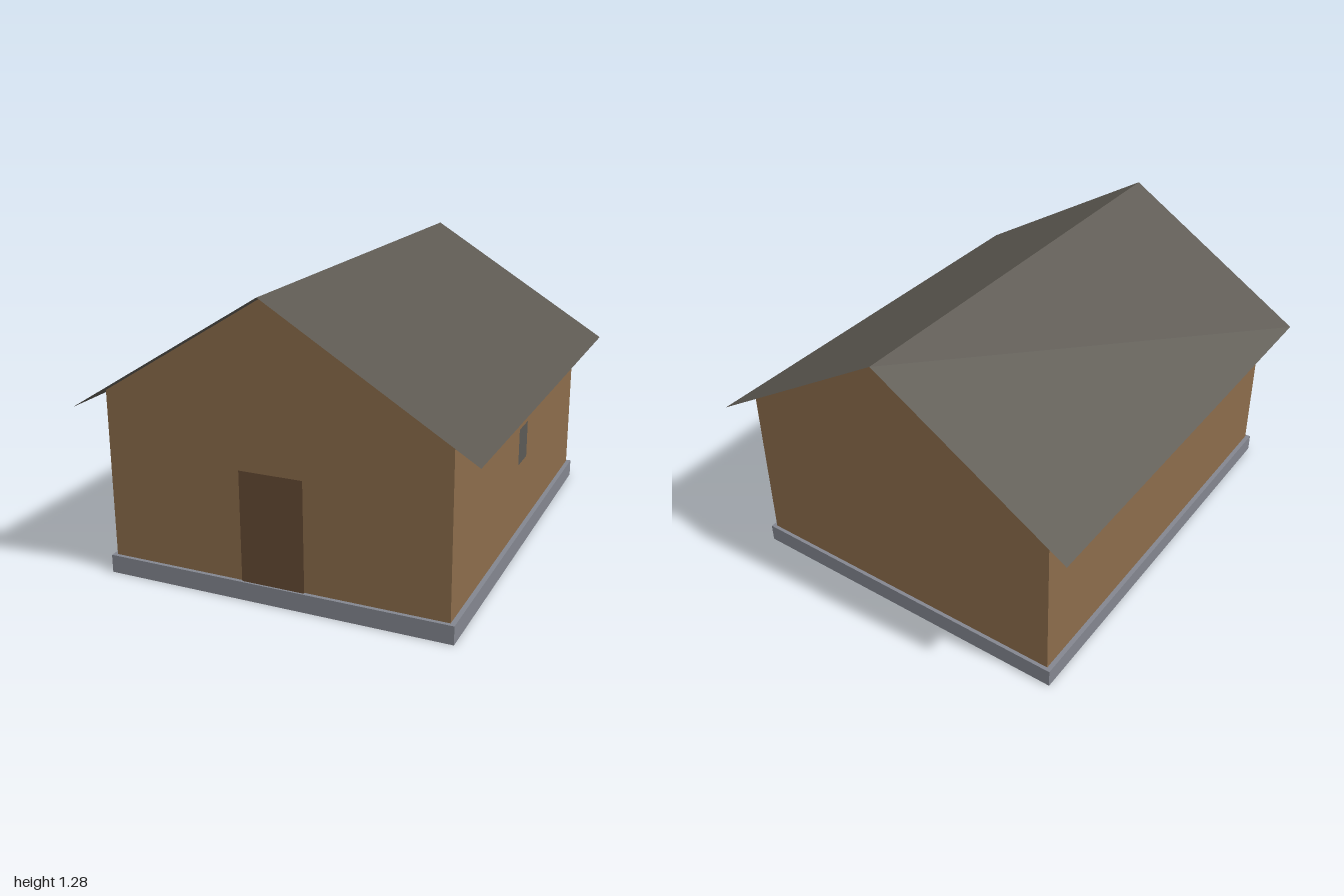
import * as THREE from 'three';

const mat = (name, color) => {
  const m = new THREE.MeshStandardMaterial({ color });
  m.name = name;
  m.side = THREE.DoubleSide;
  return m;
};

export function createModel() {
  const house = new THREE.Group();
  house.name = 'house';

  const wood = mat('wood brown', 0x8b6c4b);
  const darkWood = mat('door brown', 0x654b33);
  const stone = mat('stone grey', 0x83868f);
  const slate = mat('roof grey', 0x5c5851);
  const glass = mat('window grey', 0x5a5955);

  const add = (name, geometry, material, x = 0, y = 0, z = 0) => {
    const mesh = new THREE.Mesh(geometry, material);
    mesh.name = name;
    mesh.position.set(x, y, z);
    house.add(mesh);
    return mesh;
  };

  // Foundation: four sides and a top, open underneath
  const W = 1.54, D = 1.89, H = 0.08;
  for (const s of [-1, 1]) {
    add(s > 0 ? 'foundationFront' : 'foundationBack', new THREE.PlaneGeometry(W, H), stone, 0, H / 2, s * D / 2)
      .rotation.y = s > 0 ? 0 : Math.PI;
    add(s > 0 ? 'foundationLeft' : 'foundationRight', new THREE.PlaneGeometry(D, H), stone, s * W / 2, H / 2, 0)
      .rotation.y = s * Math.PI / 2;
  }
  add('foundationTop', new THREE.PlaneGeometry(W, D), stone, 0, H, 0).rotation.x = -Math.PI / 2;

  // Walls with both gables in one extruded outline
  const outline = new THREE.Shape([
    [-0.75, 0.081], [0.75, 0.081], [0.75, 0.815], [0, 1.274], [-0.75, 0.815],
  ].map(([x, y]) => new THREE.Vector2(x, y)));
  add('walls', new THREE.ExtrudeGeometry(outline, { depth: 1.86, bevelEnabled: false }), wood, 0, 0, -0.93);

  // Two thin roof slopes meeting at the ridge
  const ridge = 1.278, eave = 0.746, half = 0.87;
  const slope = Math.atan2(ridge - eave, half);
  for (const s of [-1, 1]) {
    const sheet = new THREE.PlaneGeometry(Math.hypot(half, ridge - eave), 2).rotateX(-Math.PI / 2);
    add(s > 0 ? 'roofLeft' : 'roofRight', sheet, slate, s * half / 2, (ridge + eave) / 2, 0)
      .rotation.z = -s * slope;
  }

  // Door plate reaches down behind the foundation front
  add('door', new THREE.PlaneGeometry(0.28, 0.54), darkWood, 0, 0.29, 0.936);

  // Single side window
  add('window', new THREE.PlaneGeometry(0.13, 0.165), glass, 0.756, 0.491, 0.002).rotation.y = Math.PI / 2;

  return house;
}
